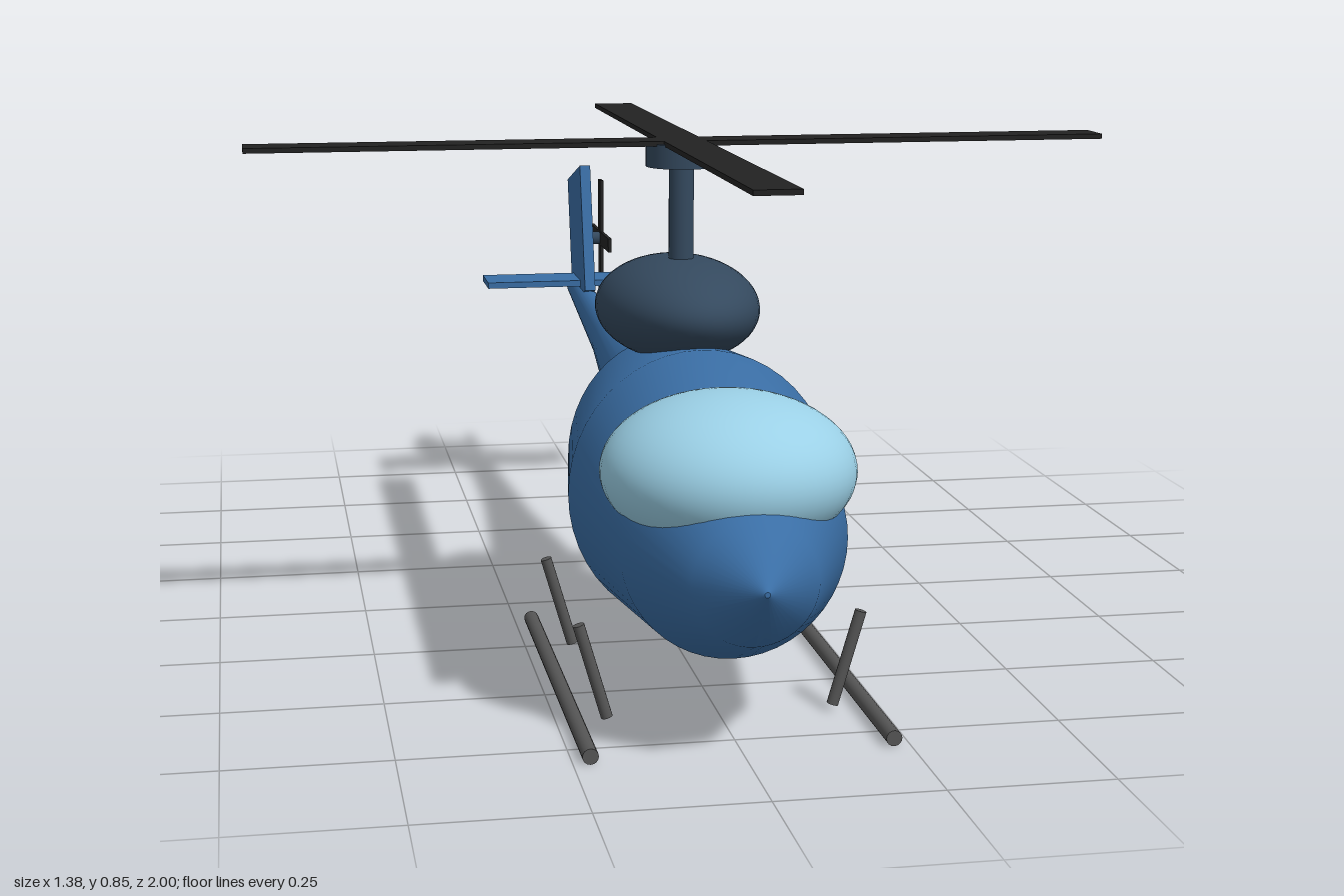
import * as THREE from 'three';

const mat = (color) => new THREE.MeshStandardMaterial({ color });

// Closed body through elliptical stations [z, centreY, radiusX, radiusY], front to back
function loft(stations, sides = 48) {
  const n = stations.length - 1;
  const g = new THREE.CylinderGeometry(1, 1, 1, sides, n).rotateX(Math.PI / 2);
  const p = g.attributes.position;
  for (let i = 0; i < p.count; i++) {
    const [z, cy, rx, ry] = stations[Math.round((0.5 - p.getZ(i)) * n)];
    p.setXYZ(i, p.getX(i) * rx, cy + p.getY(i) * ry, z);
  }
  g.computeVertexNormals();
  return g;
}

// Round bar between two points
function bar(a, b, r, sides = 16) {
  return new THREE.TubeGeometry(new THREE.LineCurve3(a, b), 1, r, sides);
}

export function createModel() {
  const model = new THREE.Group();
  const blue = mat(0x3a6ea5), glass = mat(0x9bd0e6), slate = mat(0x34495e);
  const black = mat(0x222222), steel = mat(0x555555);

  const add = (name, geometry, material, x = 0, y = 0, z = 0, parent = model) => {
    const mesh = new THREE.Mesh(geometry, material);
    mesh.name = name;
    mesh.position.set(x, y, z);
    parent.add(mesh);
    return mesh;
  };
  const ellipsoid = (rx, ry, rz) => new THREE.SphereGeometry(1, 48, 32).scale(rx, ry, rz);

  // Cabin body and tail boom
  add('fuselage', loft([
    [0.96, 0.286, 0.004, 0.004],
    [0.885, 0.28, 0.093, 0.092],
    [0.74, 0.3, 0.17, 0.175],
    [0.484, 0.319, 0.209, 0.221],
    [0.227, 0.32, 0.173, 0.197],
    [0.065, 0.35, 0.093, 0.112],
  ]), blue);
  add('tailBoom', loft([
    [0.1, 0.363, 0.077, 0.1],
    [0.065, 0.363, 0.074, 0.098],
    [-0.42, 0.391, 0.036, 0.046],
    [-0.89, 0.426, 0.018, 0.023],
  ], 32), blue);

  // Windscreen bubble and engine housing
  add('canopy', ellipsoid(0.19, 0.117, 0.19), glass, 0, 0.4, 0.69);
  add('engineHousing', ellipsoid(0.13, 0.085, 0.222), slate, 0, 0.574, 0.273).rotation.x = -0.05;

  // Main rotor
  const rotor = new THREE.Group();
  rotor.name = 'mainRotor';
  rotor.position.set(0, 0, 0.312);
  model.add(rotor);
  add('mast', new THREE.CylinderGeometry(0.02, 0.02, 0.24, 24), slate, 0, 0.7, 0, rotor);
  add('hub', new THREE.CylinderGeometry(0.057, 0.057, 0.038, 32), slate, 0, 0.825, 0, rotor);
  for (const turn of [0, Math.PI / 2]) {
    add('rotorBlade', new THREE.BoxGeometry(1.376, 0.008, 0.068), black, 0, 0.845, 0, rotor).rotation.y = turn;
  }

  // Tail surfaces
  add('tailFin', new THREE.BoxGeometry(0.021, 0.255, 0.186), blue, 0, 0.546, -0.8).rotation.x = -0.263;
  add('stabilizer', new THREE.BoxGeometry(0.4, 0.012, 0.105), blue, 0, 0.452, -0.794);

  // Tail rotor on the left side
  const tailRotor = new THREE.Group();
  tailRotor.name = 'tailRotor';
  tailRotor.position.set(0, 0.526, -0.879);
  model.add(tailRotor);
  add('tailRotorShaft', new THREE.CylinderGeometry(0.013, 0.013, 0.045, 16), slate, 0.031, 0, 0, tailRotor)
    .rotation.z = Math.PI / 2;
  for (const turn of [0, Math.PI / 2]) {
    add('tailRotorBlade', new THREE.BoxGeometry(0.007, 0.243, 0.028), black, 0.053, 0, 0, tailRotor).rotation.x = turn;
  }

  // Landing skids with slanted struts
  for (const side of [-1, 1]) {
    add('skid', new THREE.CylinderGeometry(0.012, 0.012, 0.687, 16), steel, side * 0.225, 0.015, 0.473)
      .rotation.x = Math.PI / 2;
    for (const z of [0.645, 0.273]) {
      const strut = new THREE.CylinderGeometry(0.009, 0.009, 0.152, 16);
      add('skidStrut', strut, steel, side * 0.196, 0.086, z).rotation.z = -side * 0.283;
    }
  }
  return model;
}
